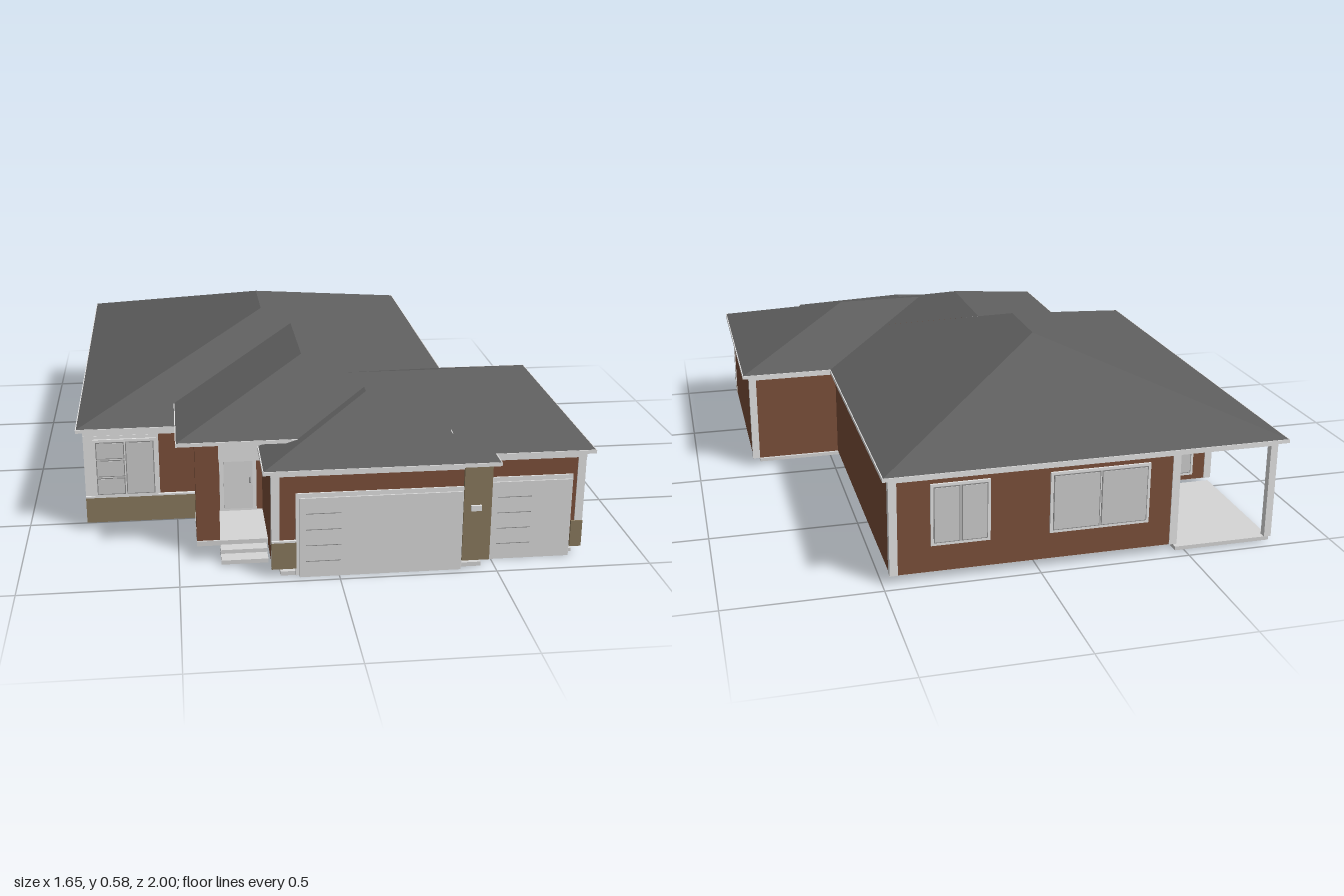
import * as THREE from 'three';

const mat = (name, color, side = THREE.FrontSide) => {
  const m = new THREE.MeshStandardMaterial({ color, side });
  m.name = name;
  return m;
};

export function createModel() {
  const house = new THREE.Group();
  house.name = 'house';
  const roofing = mat('roofing', 0x5e5e5e, THREE.DoubleSide);
  const brick = mat('brick', 0x7c503a);
  const stone = mat('stone', 0x8a7a5e);
  const trim = mat('trim', 0xe4e4e4);
  const door = mat('door', 0xdadada);
  const glass = mat('glass', 0xcdcdcd);
  const concrete = mat('concrete', 0xd6d6d6);
  const groove = mat('groove', 0x8e8e8e);

  // box given by its limits on each axis
  const box = (name, m, x0, x1, y0, y1, z0, z1, parent = house) => {
    const b = new THREE.Mesh(new THREE.BoxGeometry(x1 - x0, y1 - y0, z1 - z0), m);
    b.position.set((x0 + x1) / 2, (y0 + y1) / 2, (z0 + z1) / 2);
    b.name = name;
    parent.add(b);
    return b;
  };

  // hip roof: ridge runs along local z; back end is either hipped or cut to a valley
  const SLOPE = 0.323;
  const hipRoof = (name, half, y, eave, ridge, closedBack) => {
    const g = new THREE.Group();
    g.name = name;
    const [e0, e1] = eave, top = y + half * SLOPE;
    const A = [-half, y, e0], B = [half, y, e0], C = [half, y, e1], D = [-half, y, e1];
    const R0 = [0, top, ridge[0]], R1 = [0, top, ridge[1]];
    const tris = [A, D, R1, A, R1, R0, C, B, R0, C, R0, R1, D, C, R1];
    if (closedBack) tris.push(B, A, R0);
    const geo = new THREE.BufferGeometry();
    geo.setAttribute('position', new THREE.Float32BufferAttribute(tris.flat(), 3));
    geo.computeVertexNormals();
    const slopes = new THREE.Mesh(geo, roofing);
    slopes.name = name + 'Slopes';
    g.add(slopes);
    // fascia and soffit along the eaves
    const w = 0.032, a = y - 0.011, b = y + 0.001;
    box('eaveLeft', trim, -half, -half + w, a, b, e0, e1, g);
    box('eaveRight', trim, half - w, half, a, b, e0, e1, g);
    box('eaveFront', trim, -half + w, half - w, a, b, e1 - w, e1, g);
    if (closedBack) box('eaveBack', trim, -half + w, half - w, a, b, e0, e0 + w, g);
    house.add(g);
    return g;
  };
  hipRoof('mainRoof', 0.6625, 0.37, [-1, 0.58], [-0.3375, -0.0825], true).position.x = -0.1625;
  hipRoof('entryRoof', 0.44, 0.409, [0.46, 0.837], [0.02, 0.397], false).position.x = -0.06;
  hipRoof('garageRoof', 0.37, 0.37, [0.7, 1], [0.59, 0.63], false).position.x = 0.13;
  const wing = hipRoof('wingRoof', 0.435, 0.37, [0.5, 0.822], [0.065, 0.387], false);
  wing.rotation.y = Math.PI / 2;
  wing.position.z = 0.495;

  // outer walls with frieze, following the footprint
  const plan = [[-0.79, 0.545], [-0.2, 0.545], [-0.2, 0.955], [0.465, 0.955], [0.465, 0.895], [0.785, 0.895],
    [0.785, 0.11], [0.465, 0.11], [0.465, -0.955], [-0.455, -0.955], [-0.455, -0.475], [-0.79, -0.475]];
  plan.forEach(([x, z], i) => {
    const [u, v] = plan[(i + 1) % plan.length];
    const strip = (name, m, t, y0, y1) => box(name, m, Math.min(x, u) - t, Math.max(x, u) + t, y0, y1,
      Math.min(z, v) - t, Math.max(z, v) + t);
    strip('wall', brick, 0.01, 0.03, 0.362);
    strip('frieze', trim, 0.014, 0.34, 0.364);
  });
  // corner boards on the outward corners
  [0, 2, 5, 6, 8, 9, 11].forEach(i => {
    const [x, z] = plan[i], t = 0.013;
    box('cornerBoard', trim, x - t, x + t, 0.03, 0.34, z - t, z + t);
  });

  // floors
  const rect = (P, x0, x1, z0, z1) => {
    const p = new P();
    p.moveTo(x0, z0); p.lineTo(x1, z0); p.lineTo(x1, z1); p.lineTo(x0, z1); p.closePath();
    return p;
  };
  const floorShape = new THREE.Shape([[-0.795, 0.55], [-0.795, -0.48], [-0.46, -0.48], [-0.46, -0.96],
    [0.47, -0.96], [0.47, 0.55]].map(([x, z]) => new THREE.Vector2(x, z)));
  floorShape.holes.push(rect(THREE.Path, -0.16, 0.24, -0.04, 0.06));
  const floor = new THREE.Mesh(new THREE.ExtrudeGeometry(floorShape, { depth: 0.03, bevelEnabled: false }), concrete);
  floor.geometry.rotateX(Math.PI / 2);
  floor.position.y = 0.056;
  floor.name = 'floor';
  house.add(floor);
  box('garageFloor', concrete, -0.185, 0.455, 0.004, 0.018, 0.36, 0.965);
  box('wingFloor', concrete, 0.455, 0.77, 0.006, 0.018, 0.12, 0.9);

  // back patio with corner post
  box('patio', concrete, -0.795, -0.465, 0.005, 0.018, -0.965, -0.485);
  box('patioPost', trim, -0.803, -0.779, 0.018, 0.362, -0.967, -0.943);
  box('patioBeamBack', trim, -0.8, -0.455, 0.34, 0.362, -0.967, -0.943);
  box('patioBeamSide', trim, -0.803, -0.779, 0.34, 0.362, -0.967, -0.475);

  // stone base along the front
  box('stoneBaseLeft', stone, -0.803, -0.375, 0.03, 0.12, 0.55, 0.563);
  box('stoneCapLeft', trim, -0.803, -0.375, 0.12, 0.126, 0.55, 0.566);
  box('stoneBaseGarage', stone, -0.213, -0.135, 0.03, 0.12, 0.96, 0.973);
  box('stoneCapGarage', trim, -0.213, -0.135, 0.12, 0.126, 0.96, 0.974);
  box('stoneBaseWing', stone, 0.76, 0.798, 0.03, 0.12, 0.9, 0.912);
  box('stonePier', stone, 0.39, 0.479, 0.03, 0.358, 0.89, 0.975);
  box('pierPlaque', trim, 0.413, 0.446, 0.203, 0.221, 0.975, 0.983);

  // garage doors with trim and panel grooves
  const garageDoor = (name, x0, x1, z) => {
    box(name + 'Frame', trim, x0 - 0.012, x1 + 0.003, 0.005, 0.283, z, z + 0.006);
    box(name, door, x0, x1, 0, 0.268, z, z + 0.011);
    for (let i = 1; i < 5; i++) {
      box(name + 'Groove', groove, x0 + 0.02, x0 + 0.13, i * 0.054 - 0.001, i * 0.054 + 0.001, z + 0.005, z + 0.012);
    }
  };
  garageDoor('garageDoor', -0.125, 0.388, 0.964);
  garageDoor('wingDoor', 0.495, 0.755, 0.904);
  box('wingTrim', trim, 0.48, 0.494, 0.03, 0.34, 0.9, 0.91);

  // entry porch: slab, steps, pier, beams and door
  box('porch', concrete, -0.44, -0.21, 0.033, 0.05, 0.55, 0.79);
  box('lowerStep', concrete, -0.365, -0.215, 0.004, 0.018, 0.79, 0.87);
  box('upperStep', concrete, -0.365, -0.215, 0.022, 0.035, 0.77, 0.83);
  box('entryPier', brick, -0.44, -0.365, 0.05, 0.4, 0.71, 0.785);
  box('entryBeam', trim, -0.365, -0.2, 0.32, 0.4, 0.755, 0.78);
  box('entrySideBeam', brick, -0.44, -0.415, 0.33, 0.4, 0.42, 0.71);
  box('entryDoorFrame', trim, -0.355, -0.23, 0.05, 0.295, 0.55, 0.562);
  box('entryDoor', door, -0.341, -0.243, 0.06, 0.282, 0.55, 0.568);
  box('doorHandle', groove, -0.256, -0.25, 0.155, 0.175, 0.566, 0.574);

  // windows: columns list their number of panes from bottom to top
  const windowUnit = (name, x, z, turn, w, y0, y1, columns) => {
    const g = new THREE.Group();
    g.name = name;
    const h = y1 - y0, cw = (w - 0.014) / columns.length;
    box('frame', trim, -w / 2, w / 2, y0, y1, 0, 0.008, g);
    columns.forEach((rows, c) => {
      const px = -w / 2 + 0.007 + c * cw, ph = (h - 0.014) / rows;
      for (let r = 0; r < rows; r++) {
        const py = y0 + 0.007 + r * ph;
        box('sash', groove, px + 0.002, px + cw - 0.002, py + 0.002, py + ph - 0.002, 0.004, 0.0095, g);
        box('pane', glass, px + 0.005, px + cw - 0.005, py + 0.005, py + ph - 0.005, 0.004, 0.011, g);
      }
    });
    g.position.set(x, 0, z);
    g.rotation.y = turn;
    house.add(g);
  };
  box('windowSurround', trim, -0.803, -0.555, 0.126, 0.34, 0.55, 0.56);
  windowUnit('frontWindow', -0.667, 0.558, 0, 0.21, 0.123, 0.328, [3, 1]);
  windowUnit('backWindowSmall', 0.253, -0.964, Math.PI, 0.19, 0.12, 0.325, [1, 1]);
  windowUnit('backWindowLarge', -0.2, -0.964, Math.PI, 0.33, 0.12, 0.325, [1, 1]);
  windowUnit('patioDoor', -0.62, -0.484, Math.PI, 0.22, 0.05, 0.325, [1, 1]);
  windowUnit('sideWindow', -0.799, -0.265, -Math.PI / 2, 0.14, 0.12, 0.325, [1]);

  return house;
}
